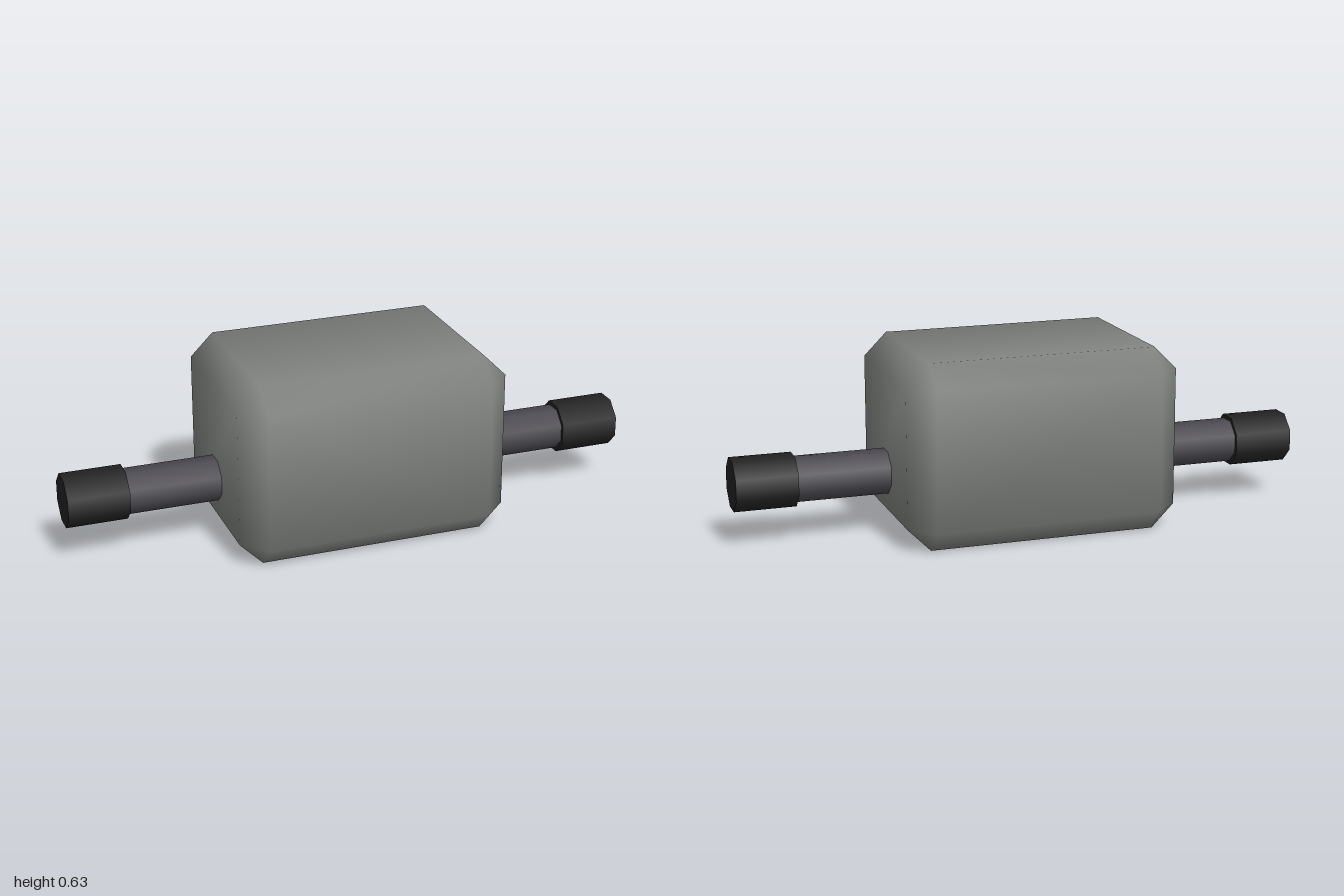
import * as THREE from 'three';
import { ConvexGeometry } from 'three/addons/geometries/ConvexGeometry.js';

const material = (name, color) => {
  const m = new THREE.MeshStandardMaterial({ color });
  m.name = name;
  return m;
};

// Box with single-step bevels on every edge and softly blended normals
function bevelledBox(half, bevel) {
  const points = [];
  for (const sx of [-1, 1]) for (const sy of [-1, 1]) for (const sz of [-1, 1]) {
    for (let axis = 0; axis < 3; axis++) {
      const p = [sx, sy, sz].map((s, i) => s * (half[i] - (i === axis ? 0 : bevel)));
      points.push(new THREE.Vector3(...p));
    }
  }
  const geometry = new ConvexGeometry(points);
  const pos = geometry.attributes.position;
  const normal = geometry.attributes.normal;
  const n = new THREE.Vector3();
  for (let i = 0; i < pos.count; i++) {
    const p = [pos.getX(i), pos.getY(i), pos.getZ(i)];
    // lean mostly towards the main face the corner belongs to
    const lean = p.map((v, a) => Math.sign(v) * (half[a] - Math.abs(v) < bevel / 2 ? 2.57 : 1));
    n.set(...lean).normalize();
    normal.setXYZ(i, n.x, n.y, n.z);
  }
  return geometry;
}

// Eight-sided rod along x, with flats on top and bottom
function rod(apothem, length) {
  const r = apothem / Math.cos(Math.PI / 8);
  return new THREE.CylinderGeometry(r, r, length, 8, 1, false, Math.PI / 8).rotateZ(Math.PI / 2);
}

export function createModel() {
  const model = new THREE.Group();
  const bodyGrey = material('body grey', 0x7f827f);
  const shaftGrey = material('shaft grey', 0x4a484f);
  const gripBlack = material('grip black', 0x222222);

  const add = (name, geometry, mat, x, y) => {
    const mesh = new THREE.Mesh(geometry, mat);
    mesh.name = name;
    mesh.position.set(x, y, 0);
    model.add(mesh);
  };

  // Main block
  add('body', bevelledBox([0.472, 0.3165, 0.342], 0.079), bodyGrey, 0, 0.3165);

  // Shaft and end grip on each side
  for (const [side, s] of [['left', 1], ['right', -1]]) {
    add(side + 'Shaft', rod(0.072, 0.4), shaftGrey, s * 0.6, 0.212);
    add(side + 'Grip', rod(0.085, 0.21), gripBlack, s * 0.895, 0.212);
  }
  return model;
}
